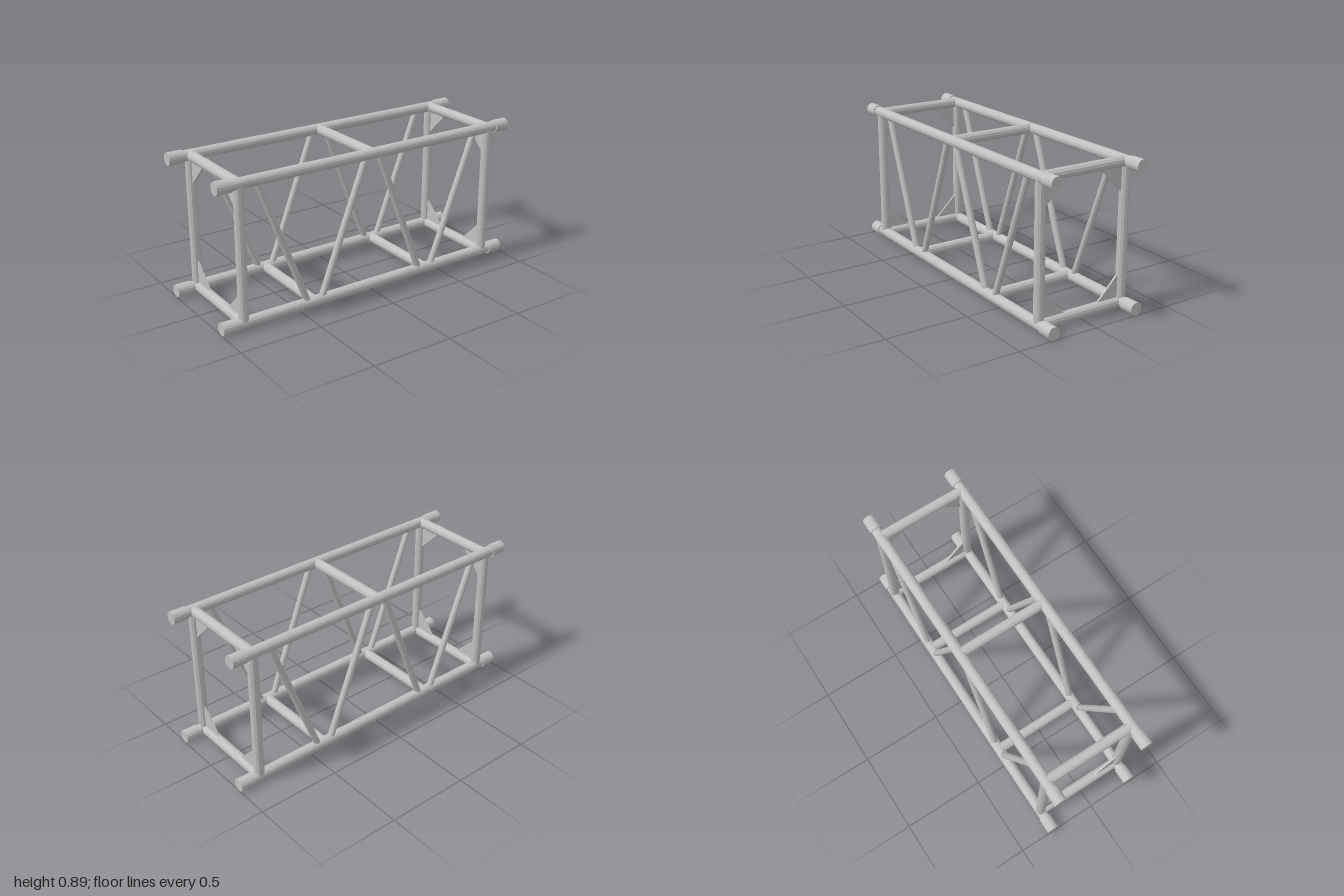
import * as THREE from 'three';

const LOW = 0.038, HIGH = 0.851, SIDE = 0.28, END = 0.86;

export function createModel() {
  const model = new THREE.Group();
  const aluminium = new THREE.MeshStandardMaterial({ color: 0xc0c0c0, flatShading: true });
  aluminium.name = 'aluminium';
  const up = new THREE.Vector3(0, 1, 0);

  // Straight round bar between two points
  function bar(name, from, to, radius, sides = 12) {
    const a = new THREE.Vector3(...from), b = new THREE.Vector3(...to);
    const dir = b.clone().sub(a);
    const mesh = new THREE.Mesh(new THREE.CylinderGeometry(radius, radius, dir.length(), sides), aluminium);
    mesh.position.copy(a).add(b).multiplyScalar(0.5);
    mesh.quaternion.setFromUnitVectors(up, dir.normalize());
    mesh.name = name;
    model.add(mesh);
  }

  for (const z of [-SIDE, SIDE]) {
    // Main chords with thicker coupling sleeves at both ends
    for (const y of [LOW, HIGH]) {
      bar('chord', [-0.95, y, z], [0.95, y, z], 0.032, 16);
      for (const s of [-1, 1]) bar('endSleeve', [s * 0.907, y, z], [s, y, z], 0.038, 16);
    }
    for (const s of [-1, 1]) {
      // End posts and the zigzag braces
      bar('endPost', [s * END, LOW, z], [s * END, HIGH, z], 0.03);
      bar('outerBrace', [s * 0.755, HIGH, z], [s * 0.443, LOW, z], 0.02);
      bar('innerBrace', [s * 0.042, HIGH, z], [s * 0.354, LOW, z], 0.02);
    }
  }

  // Cross bars joining the two sides
  for (const x of [-END, 0, END]) bar('topCrossBar', [x, HIGH, -SIDE], [x, HIGH, SIDE], 0.031);
  for (const x of [-END, -0.4, 0.4, END]) bar('bottomCrossBar', [x, LOW, -SIDE], [x, LOW, SIDE], 0.031);

  // Triangular gusset plates in the corners of the end frames
  const leg = 0.193, thick = 0.012;
  for (const x of [-END, END]) {
    for (const sz of [-1, 1]) {
      for (const [y, sy] of [[LOW, 1], [HIGH, -1]]) {
        const shape = new THREE.Shape();
        shape.moveTo(sz * SIDE, y);
        shape.lineTo(sz * (SIDE - leg), y);
        shape.lineTo(sz * SIDE, y + sy * leg);
        shape.closePath();
        const geometry = new THREE.ExtrudeGeometry(shape, { depth: thick, bevelEnabled: false });
        geometry.translate(0, 0, -thick / 2);
        geometry.rotateY(-Math.PI / 2);
        const gusset = new THREE.Mesh(geometry, aluminium);
        gusset.position.x = x;
        gusset.name = 'gusset';
        model.add(gusset);
      }
    }
  }
  return model;
}
